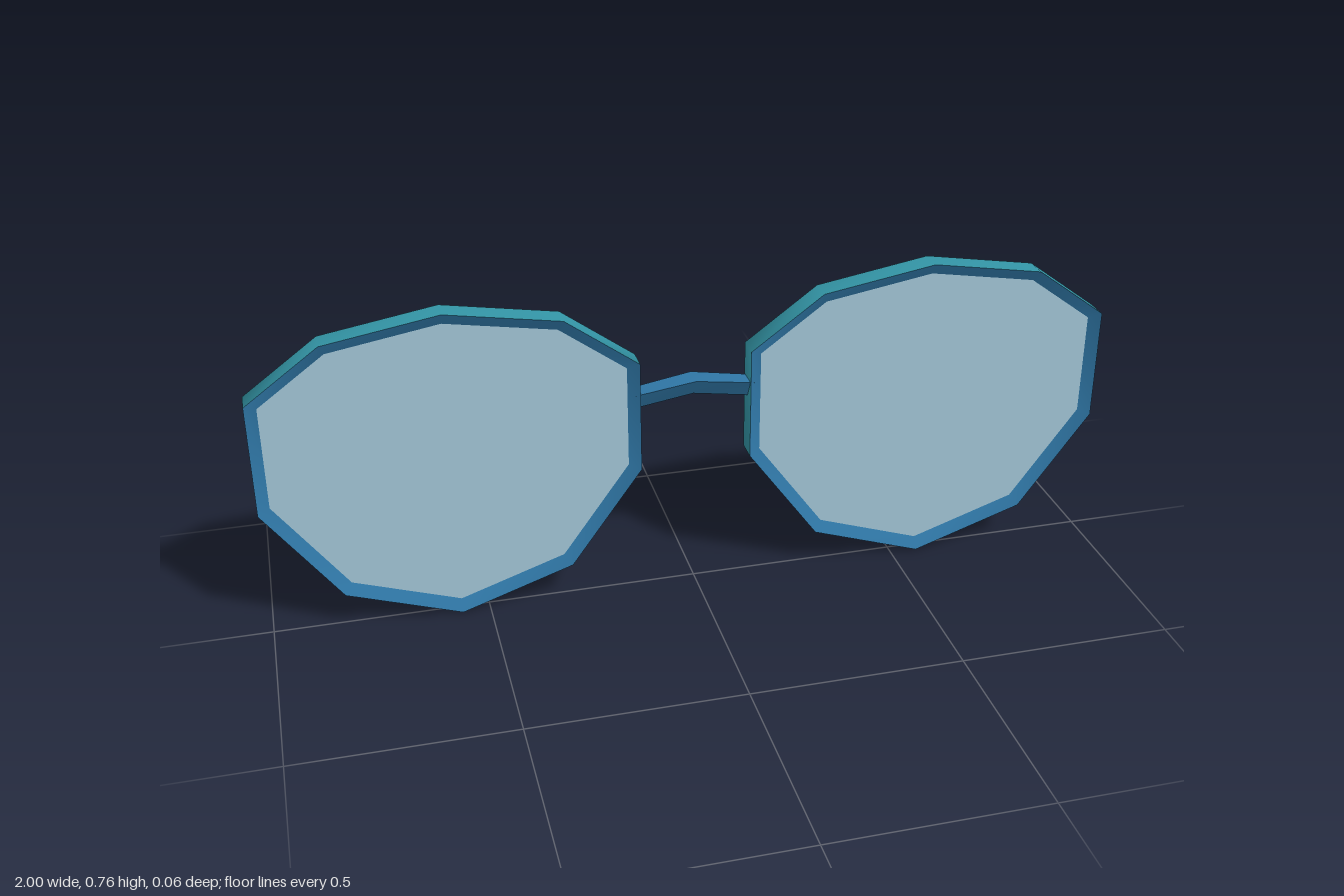
import * as THREE from 'three';

// Smooth band of quads joining two matching point loops
function strip(P, Q, closed) {
  const n = P.length, index = [];
  for (let i = 0; i < (closed ? n : n - 1); i++) {
    const j = (i + 1) % n;
    index.push(i, j, n + j, i, n + j, n + i);
  }
  const g = new THREE.BufferGeometry().setFromPoints([...P, ...Q]);
  g.setIndex(index);
  g.computeVertexNormals();
  return g;
}

// Mitred inward offset of a counter-clockwise outline
function inset(pts, d) {
  const n = pts.length;
  return pts.map((p, i) => {
    const a = p.clone().sub(pts[(i + n - 1) % n]).normalize();
    const b = pts[(i + 1) % n].clone().sub(p).normalize();
    const k = d / (1 + a.dot(b));
    return new THREE.Vector2(p.x - (a.y + b.y) * k, p.y + (a.x + b.x) * k);
  });
}

export function createModel() {
  const model = new THREE.Group();
  const material = (name, color) => new THREE.MeshStandardMaterial({ name, color });
  const teal = material('teal rim', 0x3395a6);
  const blue = material('blue frame', 0x2f76a5);
  const glass = material('pale blue lens', 0xa0c4d5);
  const add = (parent, name, geometry, mat) => {
    const mesh = new THREE.Mesh(geometry, mat);
    mesh.name = name;
    parent.add(mesh);
  };

  // Ten-sided lens outline, symmetric about its own centre line
  const half = [[0.265, 0.09], [0.435, 0.325], [0.435, 0.595], [0.265, 0.72]];
  const outline = [[0, 0], ...half, [0, 0.765], ...half.map(([x, y]) => [-x, y]).reverse()]
    .map(([x, y]) => new THREE.Vector2(x, y));
  const loop = (pts, z) => pts.map(p => new THREE.Vector3(p.x, p.y, z));

  // Rim of triangular section: flat outside, sloping in to a ridge
  const front = loop(outline, 0.028);
  const back = loop(outline, -0.028);
  const ridge = loop(inset(outline, 0.048), 0);
  const rimOuter = strip(back, front, true);
  const rimFront = strip(front, ridge, true);
  const rimBack = strip(ridge, back, true);

  // Lens plate held in the rim
  const lens = new THREE.ExtrudeGeometry(new THREE.Shape(inset(outline, 0.027)), {
    depth: 0.024, bevelEnabled: false,
  }).translate(0, 0, -0.012);

  for (const side of [1, -1]) {
    const eye = new THREE.Group();
    eye.name = side > 0 ? 'leftEyepiece' : 'rightEyepiece';
    eye.position.x = side * 0.565;
    add(eye, 'rimOuter', rimOuter, teal);
    add(eye, 'rimFront', rimFront, blue);
    add(eye, 'rimBack', rimBack, blue);
    add(eye, 'lens', lens, glass);
    model.add(eye);
  }

  // Arched bridge, triangular with its flat side up
  const path = [[-0.14, 0.514, 0.023], [0, 0.536, 0.027], [0.14, 0.514, 0.023]];
  const edge = (dy, dz) => path.map(([x, y, w]) => new THREE.Vector3(x, y + dy, w * dz));
  const topFront = edge(0, 1), topBack = edge(0, -1), under = edge(-0.043, 0);
  const bridge = new THREE.Group();
  bridge.name = 'bridge';
  add(bridge, 'bridgeTop', strip(topFront, topBack, false), blue);
  add(bridge, 'bridgeFront', strip(under, topFront, false), blue);
  add(bridge, 'bridgeBack', strip(topBack, under, false), blue);
  model.add(bridge);

  return model;
}
